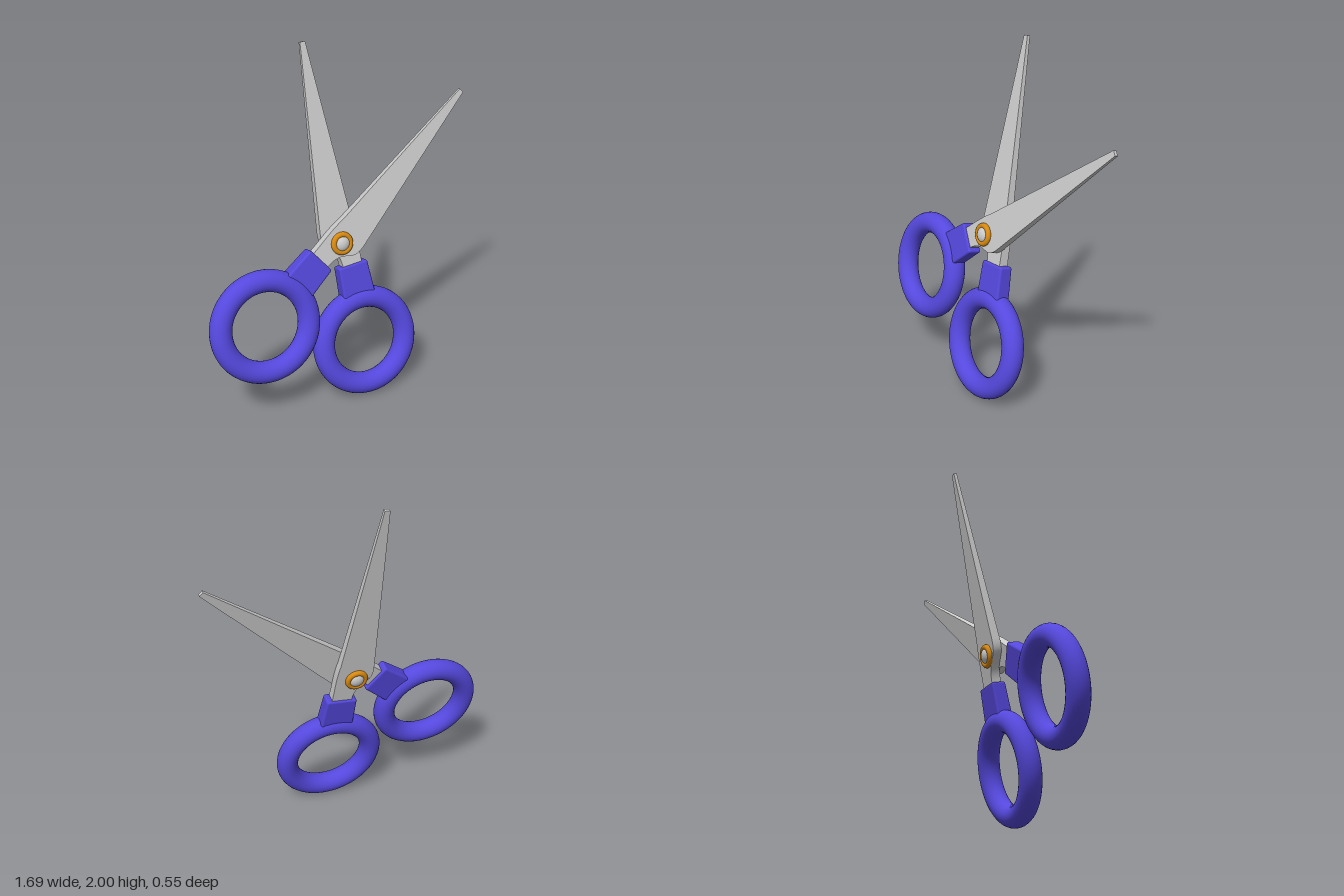
import * as THREE from 'three';
import { toCreasedNormals } from 'three/addons/utils/BufferGeometryUtils.js';
import { RoundedBoxGeometry } from 'three/addons/geometries/RoundedBoxGeometry.js';

const steel = new THREE.MeshStandardMaterial({ color: 0xcccccc });
const plastic = new THREE.MeshStandardMaterial({ color: 0x5548dd });
const brass = new THREE.MeshStandardMaterial({ color: 0xd98a10 });

function add(parent, name, geometry, material) {
  const mesh = new THREE.Mesh(geometry, material);
  mesh.name = name;
  parent.add(mesh);
  return mesh;
}

// Move every vertex by a rule
function deform(geometry, rule) {
  const p = geometry.attributes.position;
  const v = new THREE.Vector3();
  for (let i = 0; i < p.count; i++) {
    rule(v.fromBufferAttribute(p, i));
    p.setXYZ(i, v.x, v.y, v.z);
  }
  return geometry;
}

// Blade outline along +y, measured from the ring centre, thinning to the tip
function bladeGeometry() {
  const s = new THREE.Shape();
  s.moveTo(0.07, 0.38);
  s.lineTo(0.072, 0.6);
  s.quadraticCurveTo(0.072, 0.67, 0.064, 0.73);
  s.lineTo(0.015, 1.741);
  s.lineTo(-0.015, 1.741);
  s.lineTo(-0.14, 0.7);
  s.quadraticCurveTo(-0.148, 0.63, -0.115, 0.605);
  s.lineTo(-0.085, 0.575);
  s.quadraticCurveTo(-0.048, 0.54, -0.048, 0.46);
  s.lineTo(-0.048, 0.38);
  s.closePath();
  const g = new THREE.ExtrudeGeometry(s, { depth: 1, bevelEnabled: false, curveSegments: 8 });
  g.translate(0, 0, -0.5);
  deform(g, v => { v.z *= THREE.MathUtils.mapLinear(v.y, 0.45, 1.741, 0.056, 0.018); });
  return toCreasedNormals(g, 0.6);
}

// Grip block, widening towards the ring
function gripGeometry() {
  const g = new RoundedBoxGeometry(0.18, 0.21, 0.08, 3, 0.012);
  return deform(g, v => {
    const k = 1 - (v.y - 0.105) * 0.5;
    v.x *= k;
    v.z *= k;
  });
}

// One half: finger ring, grip and blade
function half(name, x, y, z, angle, flipped) {
  const holder = new THREE.Group();
  holder.name = name;
  holder.position.set(x, y, z);
  holder.rotation.z = angle;
  const body = new THREE.Group();
  body.name = name + 'Body';
  body.rotation.y = flipped ? Math.PI : 0;
  holder.add(body);
  add(body, 'fingerRing', new THREE.TorusGeometry(0.258, 0.0625, 24, 72), plastic);
  add(body, 'grip', gripGeometry(), plastic).position.set(0.012, 0.366, 0);
  add(body, 'blade', bladeGeometry(), steel);
  return holder;
}

export function createModel() {
  const model = new THREE.Group();
  model.name = 'scissors';

  // Everything hangs on the pivot, leaning back and turned slightly
  const pivot = new THREE.Group();
  pivot.name = 'pivot';
  pivot.position.set(-0.025, 0.92, 0.026);
  pivot.rotation.set(-0.235, -0.066, 0, 'YXZ');
  model.add(pivot);

  pivot.add(half('backHalf', 0.113, -0.616, -0.025, 0.107, false));
  pivot.add(half('frontHalf', -0.494, -0.375, 0.025, -0.886, true));

  // Pivot screw with a collar and a domed head on each side
  const shaft = add(pivot, 'screwShaft', new THREE.CylinderGeometry(0.045, 0.045, 0.11, 32), steel);
  shaft.rotation.x = Math.PI / 2;
  for (const side of [-1, 1]) {
    add(pivot, 'screwCollar', new THREE.TorusGeometry(0.05, 0.016, 14, 40), brass).position.z = side * 0.056;
    const head = add(pivot, 'screwHead', new THREE.SphereGeometry(0.045, 32, 16), steel);
    head.position.z = side * 0.054;
    head.scale.z = 0.65;
  }
  return model;
}
